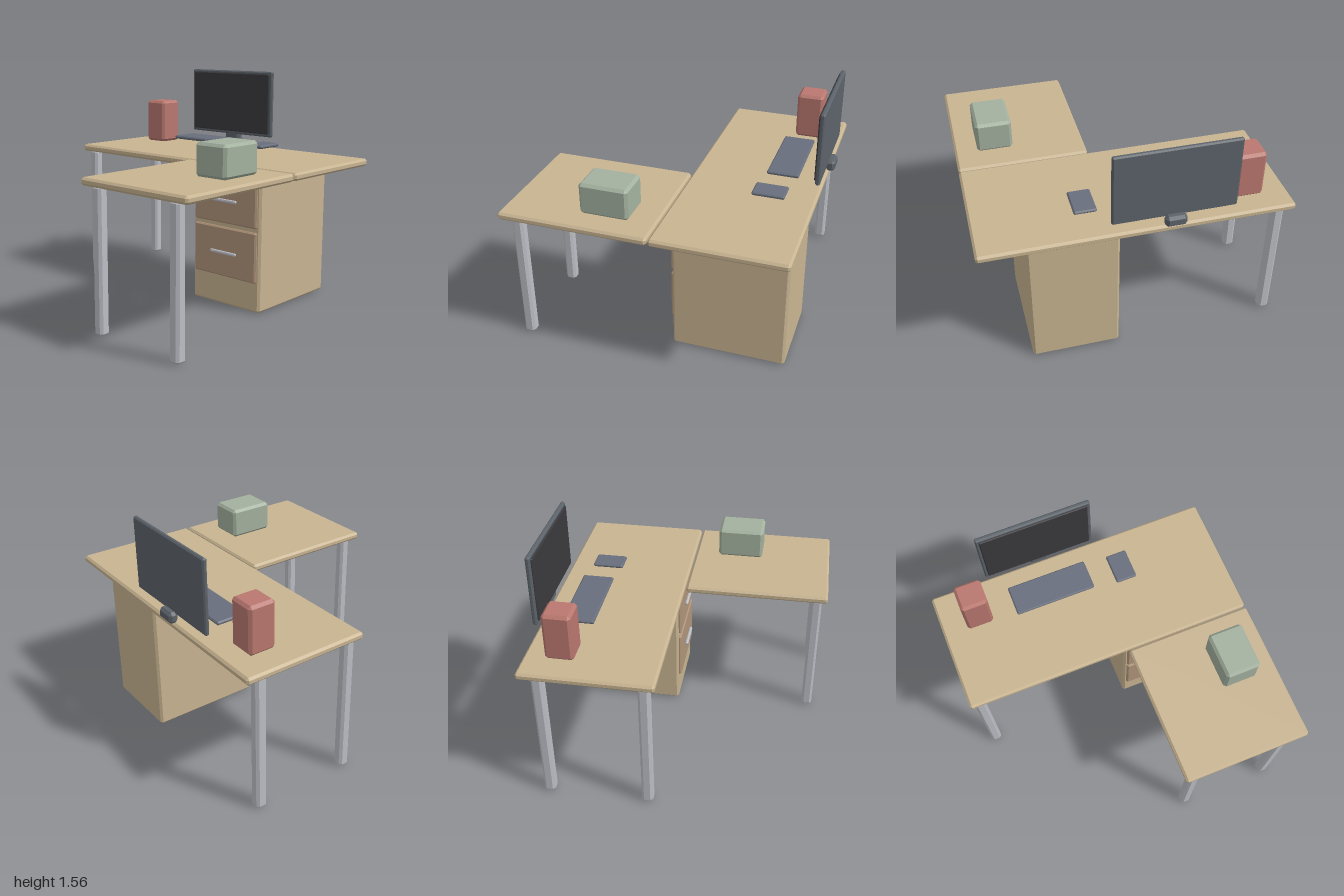
import * as THREE from 'three';
import { ConvexGeometry } from 'three/addons/geometries/ConvexGeometry.js';

const material = (color) => new THREE.MeshStandardMaterial({ color, flatShading: true });

// Box with chamfered edges, given its [min, max] extent on each axis
function chamferBox(name, [x0, x1], [y0, y1], [z0, z1], bevel, mat) {
  const hx = (x1 - x0) / 2, hy = (y1 - y0) / 2, hz = (z1 - z0) / 2;
  const points = [];
  for (const sx of [-1, 1]) for (const sy of [-1, 1]) for (const sz of [-1, 1]) {
    points.push(
      new THREE.Vector3(sx * hx, sy * (hy - bevel), sz * (hz - bevel)),
      new THREE.Vector3(sx * (hx - bevel), sy * hy, sz * (hz - bevel)),
      new THREE.Vector3(sx * (hx - bevel), sy * (hy - bevel), sz * hz)
    );
  }
  const mesh = new THREE.Mesh(new ConvexGeometry(points), mat);
  mesh.name = name;
  mesh.position.set((x0 + x1) / 2, (y0 + y1) / 2, (z0 + z1) / 2);
  return mesh;
}

export function createModel() {
  const desk = new THREE.Group();
  desk.name = 'cornerDesk';

  const wood = material(0xc8b491);
  const drawerWood = material(0xb0947a);
  const metal = material(0xbcbec4);
  const casing = material(0x5c636a);
  const glass = material(0x3a3a3e);
  const keys = material(0x686e7c);

  // Two tops forming an L
  desk.add(chamferBox('mainTop', [-1, 1], [0.94, 0.99], [-0.9, -0.045], 0.014, wood));
  desk.add(chamferBox('returnTop', [0.13, 1], [0.94, 0.99], [-0.035, 0.945], 0.014, wood));

  // Four legs
  const legs = new THREE.Group();
  legs.name = 'legs';
  const h = 0.037;
  for (const [x, z] of [[-0.933, -0.12], [-0.933, -0.78], [0.225, 0.872], [0.865, 0.872]]) {
    legs.add(chamferBox('leg', [x - h, x + h], [0, 0.943], [z - h, z + h], 0.016, metal));
  }
  desk.add(legs);

  // Drawer pedestal
  const pedestal = new THREE.Group();
  pedestal.name = 'pedestal';
  pedestal.add(chamferBox('cabinet', [0.12, 0.7], [0, 0.943], [-0.848, -0.092], 0.015, wood));
  const handleShape = new THREE.CapsuleGeometry(0.012, 0.198, 3, 8).rotateZ(Math.PI / 2);
  for (const [y0, y1, handleY] of [[0.577, 0.9, 0.737], [0.205, 0.55, 0.377]]) {
    pedestal.add(chamferBox('drawerFront', [0.143, 0.677], [y0, y1], [-0.104, -0.074], 0.01, drawerWood));
    const handle = new THREE.Mesh(handleShape, metal);
    handle.name = 'drawerHandle';
    handle.position.set(0.413, handleY, -0.06);
    pedestal.add(handle);
  }
  desk.add(pedestal);

  // Monitor on a small foot
  const monitor = new THREE.Group();
  monitor.name = 'monitor';
  monitor.add(chamferBox('monitorCasing', [-0.595, 0.19], [1.067, 1.556], [-0.903, -0.872], 0.009, casing));
  monitor.add(chamferBox('screen', [-0.573, 0.168], [1.088, 1.538], [-0.882, -0.862], 0.006, glass));
  monitor.add(chamferBox('monitorFoot', [-0.27, -0.135], [1.008, 1.083], [-0.946, -0.884], 0.018, casing));
  desk.add(monitor);

  // Desk items
  desk.add(chamferBox('keyboard', [-0.483, 0.078], [1.034, 1.058], [-0.748, -0.536], 0.008, keys));
  desk.add(chamferBox('trackpad', [0.233, 0.378], [1.034, 1.058], [-0.72, -0.508], 0.008, keys));
  desk.add(chamferBox('redBox', [-0.83, -0.645], [0.99, 1.31], [-0.76, -0.576], 0.018, material(0xb9776f)));
  desk.add(chamferBox('greenBox', [0.61, 0.85], [0.99, 1.2], [0.134, 0.453], 0.018, material(0xa3b19f)));

  return desk;
}
